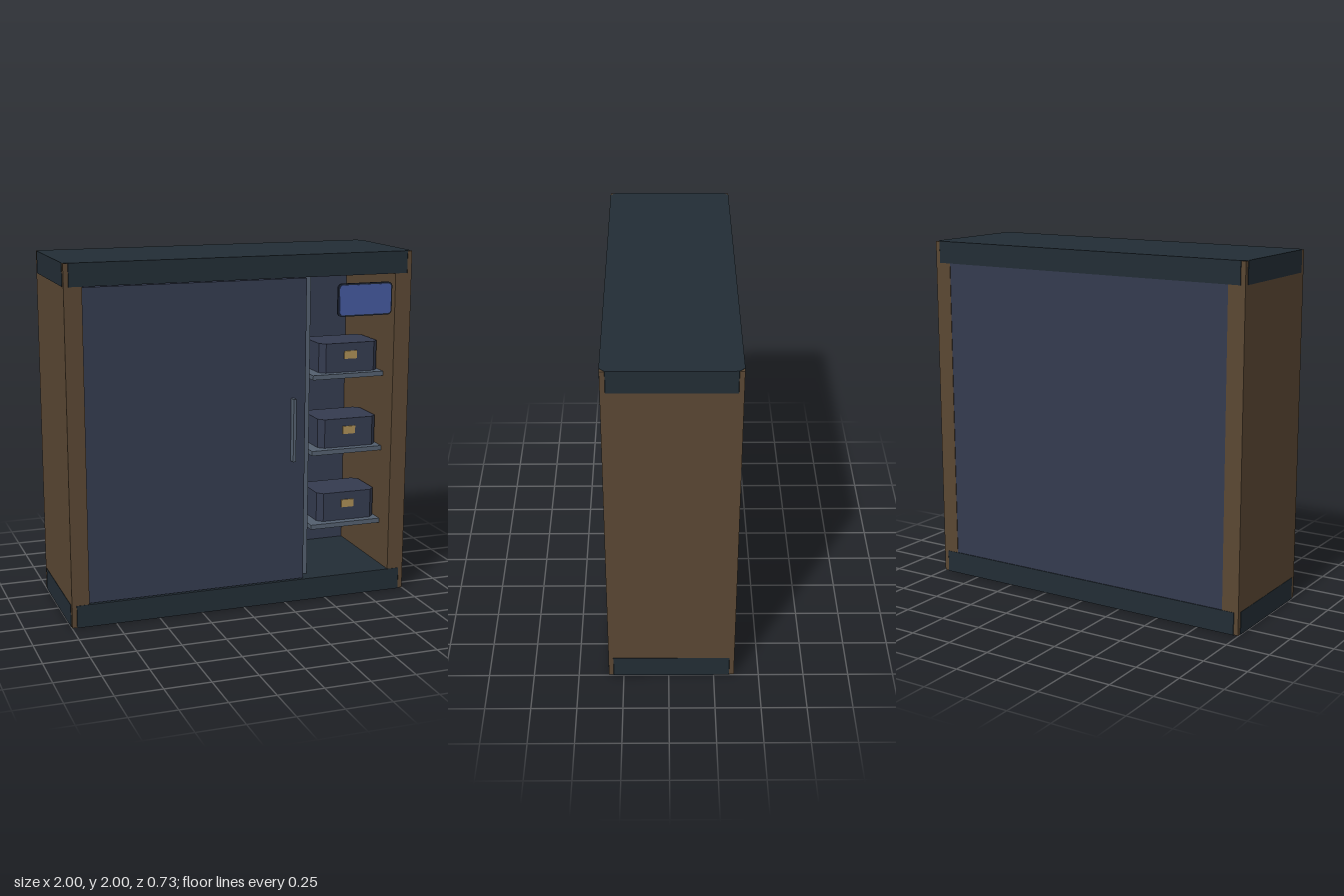
import * as THREE from 'three';

const mat = (name, color) => {
  const m = new THREE.MeshStandardMaterial({ color });
  m.name = name;
  return m;
};

export function createModel() {
  const wood = mat('brown wood', 0x5a4733);
  const dark = mat('dark slate', 0x222d35);
  const navy = mat('navy panel', 0x343b4f);
  const steel = mat('grey steel', 0x535f6e);
  const gold = mat('brass', 0xa88c55);
  const blue = mat('screen blue', 0x43589c);
  const black = mat('screen frame', 0x1f2636);

  const root = new THREE.Group();
  root.name = 'wardrobe';

  const add = (name, geometry, material, parent = root) => {
    const m = new THREE.Mesh(geometry, material);
    m.name = name;
    parent.add(m);
    return m;
  };

  // Box given by its lower and upper corner on each axis
  const box = (name, material, x0, x1, y0, y1, z0, z1, parent) => {
    const g = new THREE.BoxGeometry(x1 - x0, y1 - y0, z1 - z0);
    g.translate((x0 + x1) / 2, (y0 + y1) / 2, (z0 + z1) / 2);
    return add(name, g, material, parent);
  };

  // Upright block whose four vertical edges are cut off
  const chamferBlock = (name, material, x0, x1, y0, y1, z0, z1, c, parent) => {
    const s = new THREE.Shape([
      [x0 + c, -z1], [x1 - c, -z1], [x1, -z1 + c], [x1, -z0 - c],
      [x1 - c, -z0], [x0 + c, -z0], [x0, -z0 - c], [x0, -z1 + c],
    ].map(([x, y]) => new THREE.Vector2(x, y)));
    const g = new THREE.ExtrudeGeometry(s, { depth: y1 - y0, bevelEnabled: false });
    g.rotateX(-Math.PI / 2);
    g.translate(0, y0, 0);
    return add(name, g, material, parent);
  };

  // Flat plate with rounded corners, facing +z
  const roundedPlate = (name, material, x0, x1, y0, y1, z0, z1, r, parent) => {
    const s = new THREE.Shape();
    s.moveTo(x0 + r, y0);
    s.absarc(x1 - r, y0 + r, r, -Math.PI / 2, 0);
    s.absarc(x1 - r, y1 - r, r, 0, Math.PI / 2);
    s.absarc(x0 + r, y1 - r, r, Math.PI / 2, Math.PI);
    s.absarc(x0 + r, y0 + r, r, Math.PI, Math.PI * 1.5);
    const g = new THREE.ExtrudeGeometry(s, { depth: z1 - z0, bevelEnabled: false, curveSegments: 5 });
    g.translate(0, 0, z0);
    return add(name, g, material, parent);
  };

  // Carcass: wooden sides between slabs with cut corners
  box('rightSide', wood, -0.998, -0.9, 0.002, 1.998, -0.363, 0.333);
  box('leftSide', wood, 0.9, 0.998, 0.002, 1.998, -0.363, 0.333);
  chamferBlock('baseSlab', dark, -1, 1, 0, 0.128, -0.365, 0.335, 0.03);
  chamferBlock('topSlab', dark, -1, 1, 1.875, 2, -0.365, 0.335, 0.03);
  box('backPanel', navy, -0.9, 0.9, 0.128, 1.875, -0.36, -0.335);

  // Sliding door with its pull
  box('door', navy, -0.9, 0.365, 0.132, 1.87, 0.295, 0.325);
  box('doorHandle', steel, 0.28, 0.297, 0.84, 1.2, 0.325, 0.365);

  // Upright between the two bays
  box('divider', steel, 0.37, 0.42, 0.128, 1.875, -0.335, 0.25);

  // Open bay: three shelves, each with a labelled storage box
  for (const y of [0.405, 0.85, 1.295]) {
    const bay = new THREE.Group();
    bay.name = 'shelfWithBox';
    root.add(bay);
    box('shelf', steel, 0.46, 0.898, y - 0.027, y, -0.335, 0.21, bay);
    chamferBlock('storageBox', navy, 0.525, 0.888, y, y + 0.17, -0.11, 0.165, 0.032, bay);
    box('boxLabel', gold, 0.67, 0.747, y + 0.078, y + 0.124, 0.165, 0.172, bay);
  }

  // Display panel at the top of the open bay
  roundedPlate('screenFrame', black, 0.55, 0.88, 1.645, 1.83, 0.322, 0.335, 0.025);
  roundedPlate('screen', blue, 0.559, 0.871, 1.654, 1.821, 0.335, 0.339, 0.018);

  // Closed bay: shelf and a small chest behind the door
  box('innerShelf', steel, -0.898, 0.368, 1.17, 1.197, -0.335, 0.1);
  box('chest', wood, -0.1, 0.32, 0.5, 0.72, -0.3, 0.05);
  box('chestTrim', gold, -0.1, 0.32, 0.72, 0.75, -0.3, 0.05);

  return root;
}
